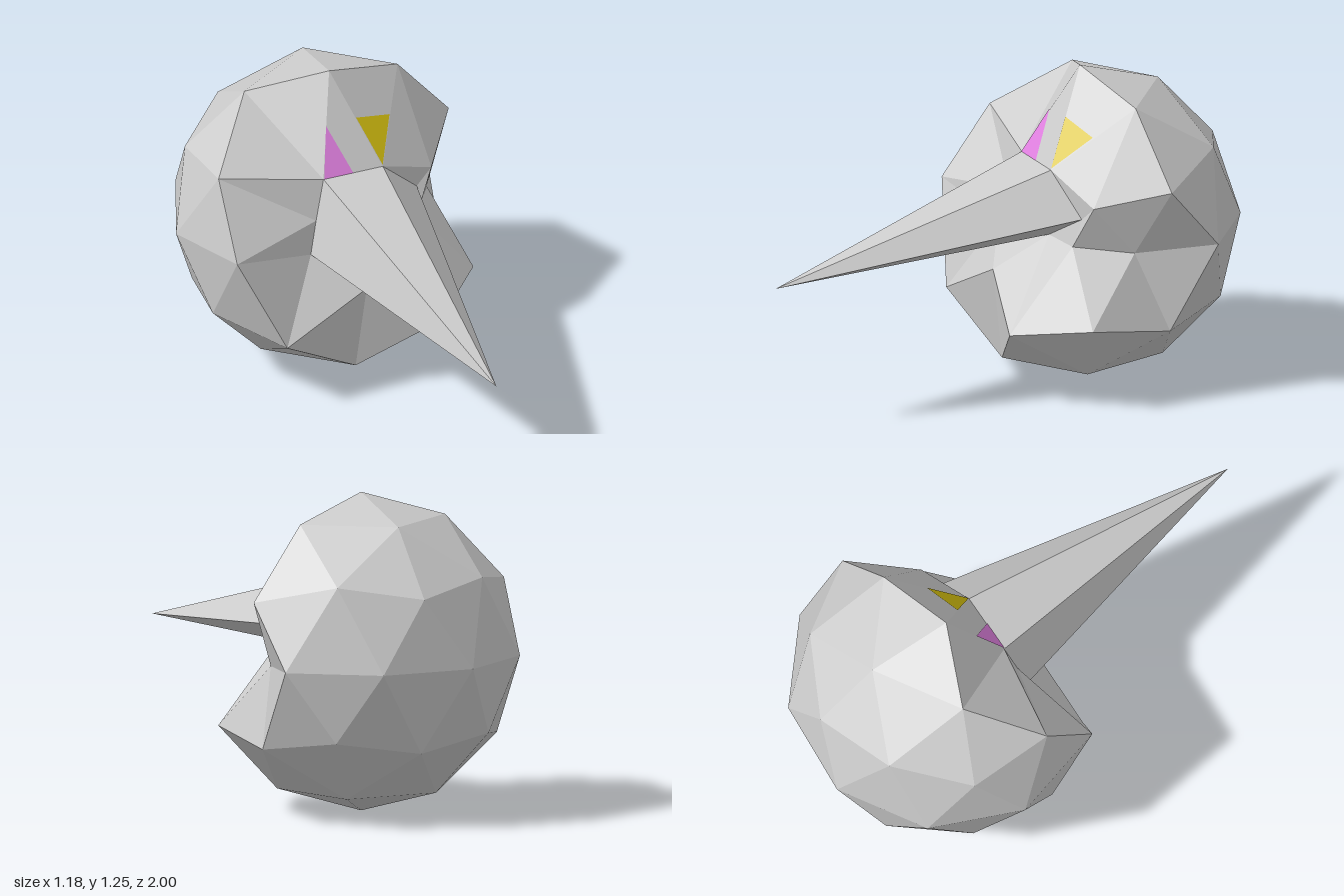
import * as THREE from 'three';

const RADIUS = 0.6225;
const CENTRE = new THREE.Vector3(0, 0.6225, -0.3775);

// Sculpted points: ball corners (or edge midpoints, 'a-b') pulled to a new place
const TIP = 'U0-U1';
const MOVED = {
  [TIP]: [-0.21, 0.59, 1.0],      // beak tip
  'T-U0': [0.09, 0.89, -0.15],    // brow, left
  'T-U1': [-0.15, 0.89, -0.21],   // brow, right
  'U0': [0.26, 0.73, -0.16],      // beak root, left
  'U1': [-0.2, 0.73, -0.19],      // beak root, right
  'L1-U0': [0.09, 0.63, -0.14],   // beak root, below
  'L1-U1': [-0.24, 0.6, -0.17],
  'L1': [-0.09, 0.47, -0.01],     // hollow under the beak
  'U0-U4': [0.33, 0.79, -0.16],   // cheek
  'L0-U0': [0.24, 0.62, -0.13],
  'L0-U4': [0.41, 0.6, -0.3],
  'U4': [0.56, 0.87, -0.36],
  'L2-U1': [-0.585, 0.68, -0.18],
};

// Unit corners of an icosahedron: top, bottom, upper and lower rings
function corners() {
  const c = { T: new THREE.Vector3(0, 1, 0), B: new THREE.Vector3(0, -1, 0) };
  const ring = 2 / Math.sqrt(5);
  const h = 1 / Math.sqrt(5);
  for (let k = 0; k < 5; k++) {
    const lo = THREE.MathUtils.degToRad(36 + 72 * k);
    const up = THREE.MathUtils.degToRad(72 + 72 * k);
    c['L' + k] = new THREE.Vector3(ring * Math.cos(lo), -h, ring * Math.sin(lo));
    c['U' + k] = new THREE.Vector3(ring * Math.cos(up), h, ring * Math.sin(up));
  }
  return c;
}

const midName = (a, b) => [a, b].sort().join('-');

// Each icosahedron face split in four, as named triangles
function namedTriangles() {
  const tris = [];
  const split = (a, b, c) => {
    const ab = midName(a, b);
    const bc = midName(b, c);
    const ca = midName(c, a);
    tris.push([a, ab, ca], [ab, b, bc], [ca, bc, c], [ab, bc, ca]);
  };
  for (let k = 0; k < 5; k++) {
    const n = (k + 1) % 5;
    split('T', 'U' + n, 'U' + k);
    split('B', 'L' + k, 'L' + n);
    split('L' + n, 'L' + k, 'U' + k);
    split('U' + k, 'U' + n, 'L' + n);
  }
  return tris;
}

function makeMaterial(name, color) {
  const m = new THREE.MeshStandardMaterial({ color, flatShading: true });
  m.name = name;
  return m;
}

export function createModel() {
  const group = new THREE.Group();
  const grey = makeMaterial('light grey', 0xcccccc);
  const yellow = makeMaterial('yellow', 0xd6c110);
  const pink = makeMaterial('pink', 0xe080e0);

  const add = (name, points, mat) => {
    const geometry = new THREE.BufferGeometry().setFromPoints(points);
    geometry.computeVertexNormals();
    const mesh = new THREE.Mesh(geometry, mat);
    mesh.name = name;
    group.add(mesh);
  };

  const base = corners();
  const point = (name) => {
    if (MOVED[name]) return new THREE.Vector3(...MOVED[name]);
    const v = new THREE.Vector3();
    for (const part of name.split('-')) v.add(base[part]);
    return v.normalize().multiplyScalar(RADIUS).add(CENTRE);
  };

  // Ball-shaped head, and the beak made of the faces around its tip
  const tris = namedTriangles();
  const isBeak = (t) => t.includes(TIP);
  add('head', tris.filter((t) => !isBeak(t)).flat().map((n) => point(n)), grey);
  add('beak', tris.filter(isBeak).flat().map((n) => point(n)), grey);

  // Eyes: flat triangles laid just above a brow face
  const addEye = (name, face, outline, mat) => {
    const [a, b, c] = face.map((n) => point(n));
    const plane = new THREE.Plane().setFromCoplanarPoints(a, b, c);
    const n = plane.normal;
    const points = outline.map(([x, y]) => {
      const z = -(n.x * x + n.y * y + plane.constant) / n.z;
      return new THREE.Vector3(x, y, z).addScaledVector(n, 0.003);
    });
    add(name, points, mat);
  };
  addEye('leftEye', ['T', 'T-U0', 'T-U4'], [[0.045, 1.07], [0.09, 0.895], [0.205, 1.025]], yellow);
  addEye('rightEye', ['T', 'T-U1', 'T-U0'], [[-0.078, 1.065], [-0.148, 0.89], [-0.03, 0.89]], pink);

  return group;
}
